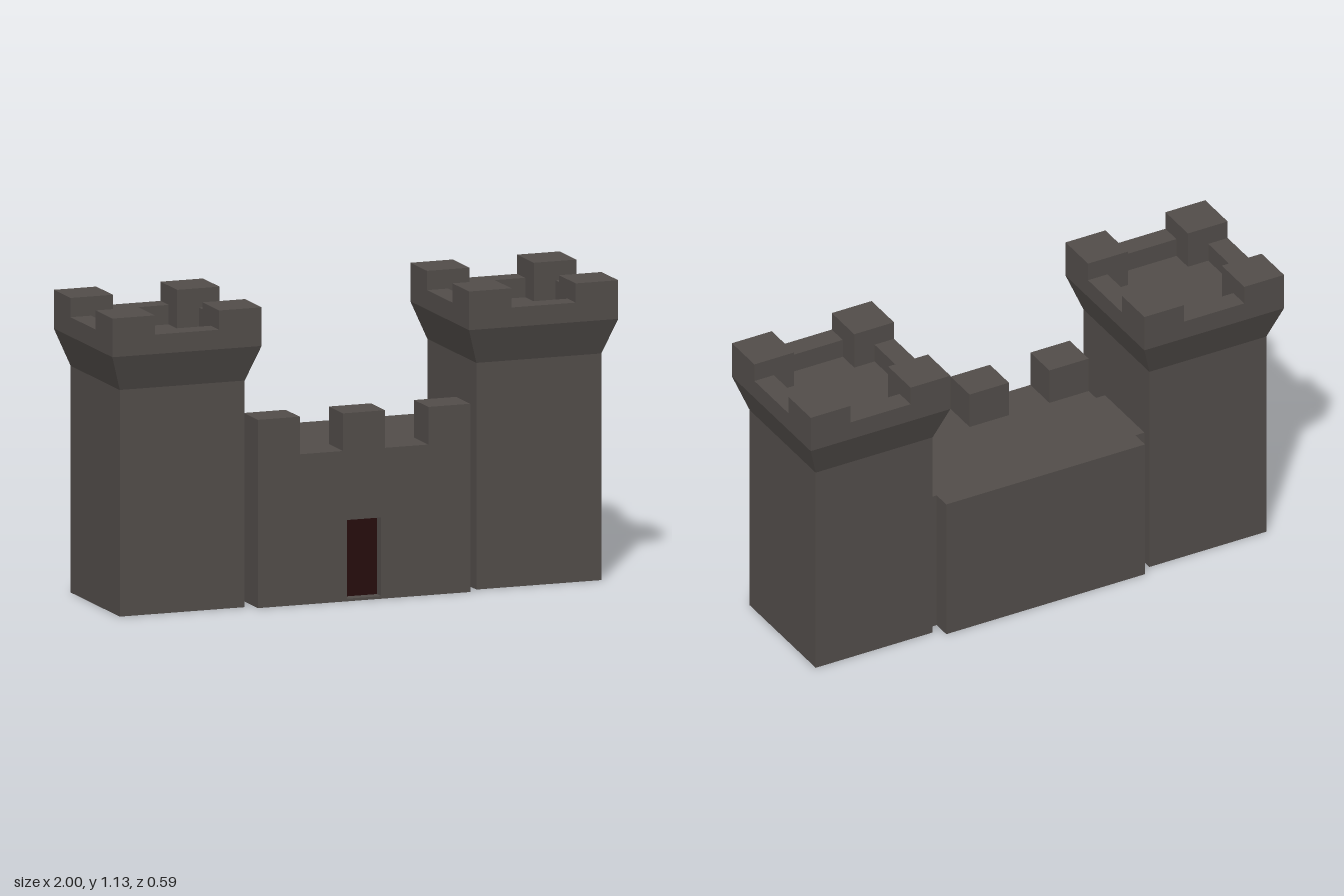
import * as THREE from 'three';

const stone = new THREE.MeshStandardMaterial({ name: 'darkStone', color: 0x524d4a, flatShading: true });
const doorDark = new THREE.MeshStandardMaterial({ name: 'doorDark', color: 0x250a0a, flatShading: true });

function add(parent, name, geometry, material = stone) {
  const mesh = new THREE.Mesh(geometry, material);
  mesh.name = name;
  parent.add(mesh);
  return mesh;
}

// Box given by its lower and upper limits on each axis
function block(parent, name, [x0, x1], [y0, y1], [z0, z1]) {
  const mesh = add(parent, name, new THREE.BoxGeometry(x1 - x0, y1 - y0, z1 - z0));
  mesh.position.set((x0 + x1) / 2, (y0 + y1) / 2, (z0 + z1) / 2);
  return mesh;
}

function makeTower() {
  const tower = new THREE.Group();
  const s = 0.247, h = 0.295;              // half widths of shaft and head
  const floorY = 0.985, gapY = 1.058, topY = 1.13;
  const merlon = 0.168, rim = 0.082;

  block(tower, 'towerShaft', [-s, s], [0, 0.85], [-s, s]);

  // Flared head, its top is the floor behind the parapet
  const flare = new THREE.CylinderGeometry(h * Math.SQRT2, s * Math.SQRT2, floorY - 0.85, 4);
  flare.rotateY(Math.PI / 4);
  add(tower, 'towerFlare', flare).position.y = (floorY + 0.85) / 2;

  // Corner merlons, with a low rim between each pair
  const inner = h - merlon;
  for (const a of [-1, 1]) {
    const side = a < 0 ? [-h, -h + rim] : [h - rim, h];
    block(tower, 'parapetRim', side, [floorY, gapY], [-inner, inner]);
    block(tower, 'parapetRim', [-inner, inner], [floorY, gapY], side);
    for (const b of [-1, 1]) {
      const m = add(tower, 'towerMerlon', new THREE.BoxGeometry(merlon, topY - floorY, merlon));
      m.position.set(a * (h - merlon / 2), (floorY + topY) / 2, b * (h - merlon / 2));
    }
  }
  return tower;
}

function makeGatehouse() {
  const gate = new THREE.Group();
  const height = 0.565, w = 0.42, wide = 0.458, front = 0.282, recess = 0.045;
  const doorZ = front - recess;

  // Plan of the wall, narrower at front and back to leave slots beside the towers
  const half = [[w, -front], [w, -0.21], [wide, -0.21], [wide, 0.085], [w, 0.085], [w, doorZ]];
  const outline = [...half, ...half.map(([x, z]) => [-x, z]).reverse()];
  const plan = new THREE.Shape(outline.map(([x, z]) => new THREE.Vector2(x, -z)));
  const body = new THREE.ExtrudeGeometry(plan, { depth: height, bevelEnabled: false });
  body.rotateX(-Math.PI / 2);
  add(gate, 'wallBody', body);

  // Front panel with the door opening
  const panel = new THREE.Shape([[-w, 0], [w, 0], [w, height], [-w, height]].map(p => new THREE.Vector2(...p)));
  const d = 0.068, sill = 0.01, lintel = 0.305;
  panel.holes.push(new THREE.Path([[-d, sill], [-d, lintel], [d, lintel], [d, sill]].map(p => new THREE.Vector2(...p))));
  const face = new THREE.ExtrudeGeometry(panel, { depth: recess, bevelEnabled: false });
  add(gate, 'wallFront', face).position.z = doorZ;

  const door = add(gate, 'door', new THREE.PlaneGeometry(2 * d, lintel - sill), doorDark);
  door.position.set(0, (sill + lintel) / 2, doorZ + 0.003);

  // Merlons along the front edge
  for (const x of [-0.337, 0, 0.337]) {
    block(gate, 'wallMerlon', [x - 0.083, x + 0.083], [height, 0.706], [0.14, front]);
  }
  return gate;
}

export function createModel() {
  const castle = new THREE.Group();
  castle.name = 'castle';
  for (const side of [-1, 1]) {
    const tower = makeTower();
    tower.name = side > 0 ? 'leftTower' : 'rightTower';
    tower.position.x = side * 0.705;
    castle.add(tower);
  }
  const gate = makeGatehouse();
  gate.name = 'gatehouse';
  castle.add(gate);
  return castle;
}
